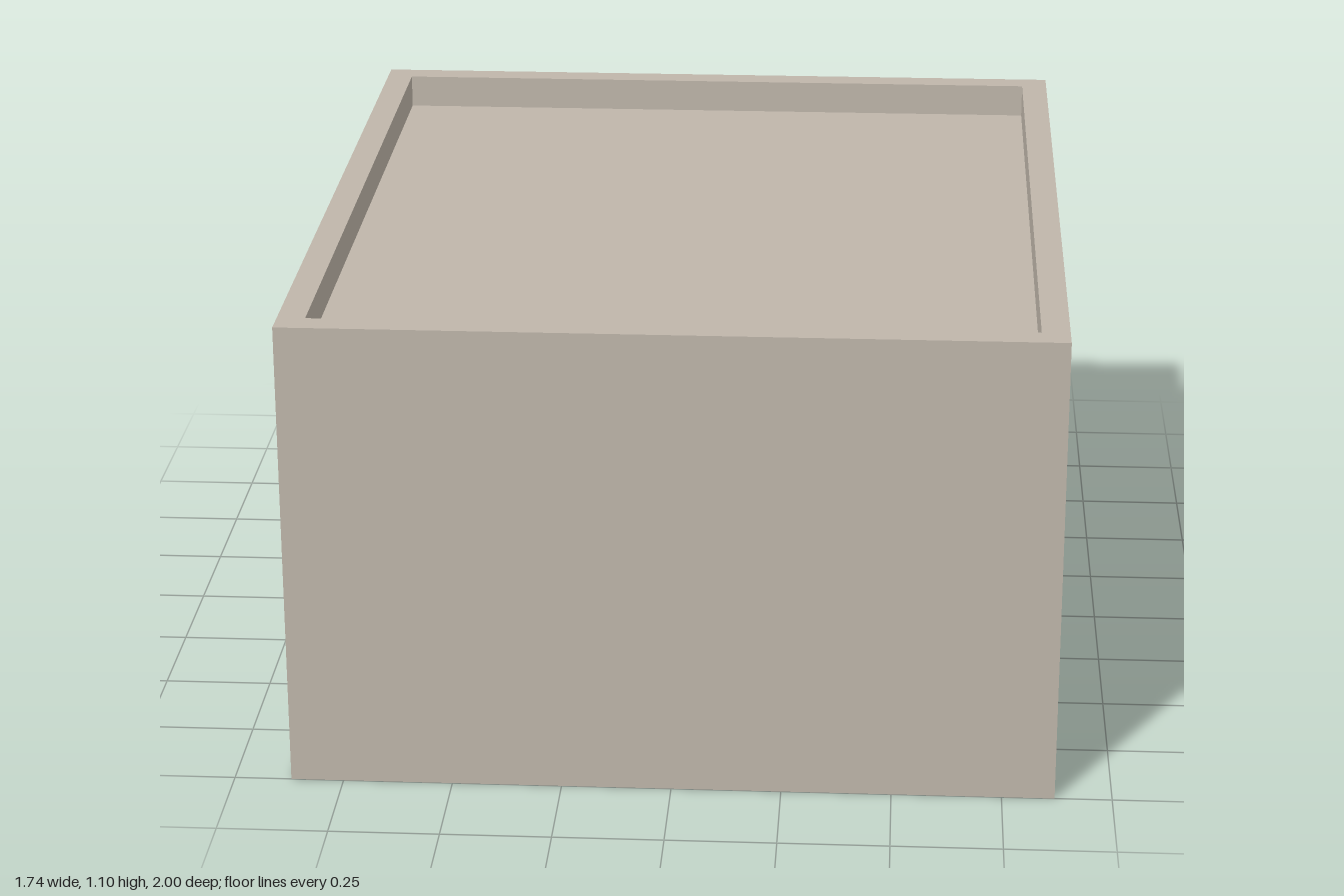
import * as THREE from 'three';

const W = 1.74, H = 1.1, D = 2;          // overall size
const RIM = 0.063, ROOF_Y = 1.02;        // parapet width, sunken roof level
const DOOR = { z0: -0.845, z1: -0.02, y0: 0.06, y1: 0.91 };

// Adds a rectangle to a shape or path
function rect(path, x0, y0, x1, y1) {
  path.moveTo(x0, y0);
  path.lineTo(x1, y0);
  path.lineTo(x1, y1);
  path.lineTo(x0, y1);
  path.closePath();
  return path;
}

// Rectangle with rectangular holes, each given as [x0, y0, x1, y1]
function panel(outer, holes = []) {
  const shape = rect(new THREE.Shape(), ...outer);
  for (const h of holes) shape.holes.push(rect(new THREE.Path(), ...h));
  return shape;
}

export function createModel() {
  const model = new THREE.Group();
  model.name = 'building';
  const wall = new THREE.MeshStandardMaterial({ color: 0xbfb6aa });
  wall.name = 'warm grey plaster';
  const dark = new THREE.MeshStandardMaterial({ color: 0x282320 });
  dark.name = 'dark frame';

  function add(name, geometry, material, pos, rot = [0, 0, 0], parent = model) {
    const mesh = new THREE.Mesh(geometry, material);
    mesh.name = name;
    mesh.position.set(...pos);
    mesh.rotation.set(...rot);
    parent.add(mesh);
    return mesh;
  }

  const hw = W / 2, hd = D / 2, iw = hw - RIM, id = hd - RIM;
  const { z0, z1, y0, y1 } = DOOR;
  const opening = [z0, y0, z1, y1];

  // Outer walls: the left-hand side (-x) has the door opening
  add('frontWall', new THREE.PlaneGeometry(W, H), wall, [0, H / 2, hd]);
  add('backWall', new THREE.PlaneGeometry(W, H), wall, [0, H / 2, -hd], [0, Math.PI, 0]);
  add('plainSideWall', new THREE.PlaneGeometry(D, H), wall, [hw, H / 2, 0], [0, Math.PI / 2, 0]);
  add('doorSideWall', new THREE.ShapeGeometry(panel([-hd, 0, hd, H], [opening])), wall,
    [-hw, 0, 0], [0, -Math.PI / 2, 0]);
  add('base', new THREE.PlaneGeometry(W, D), wall, [0, 0, 0], [Math.PI / 2, 0, 0]);

  // Parapet rim, its inner faces and the sunken roof
  add('parapetTop', new THREE.ShapeGeometry(panel([-hw, -hd, hw, hd], [[-iw, -id, iw, id]])), wall,
    [0, H, 0], [-Math.PI / 2, 0, 0]);
  add('roof', new THREE.PlaneGeometry(iw * 2, id * 2), wall, [0, ROOF_Y, 0], [-Math.PI / 2, 0, 0]);
  const drop = H - ROOF_Y, midY = (H + ROOF_Y) / 2;
  for (const s of [-1, 1]) {
    add('parapetInnerEnd', new THREE.PlaneGeometry(iw * 2, drop), wall,
      [0, midY, s * id], [0, s > 0 ? Math.PI : 0, 0]);
    add('parapetInnerSide', new THREE.PlaneGeometry(id * 2, drop), wall,
      [s * iw, midY, 0], [0, -s * Math.PI / 2, 0]);
  }

  // Three-part glazed door set into the opening
  const door = new THREE.Group();
  door.name = 'slidingDoor';
  model.add(door);
  const inset = (name, shape, material, front, depth) =>
    add(name, new THREE.ExtrudeGeometry(shape, { depth, bevelEnabled: false }), material,
      [-hw + front + depth, 0, 0], [0, -Math.PI / 2, 0], door);

  const e = 0.01, bar = 0.012;
  inset('doorReveal', panel([z0 - e, y0 - e, z1 + e, y1 + e], [opening]), wall, 0.0005, 0.036);

  const step = (z1 - z0 - bar) / 3, lights = [];
  for (let i = 0; i < 3; i++) {
    const a = z0 + bar + i * step;
    lights.push([a, y0 + bar, a + step - bar, y1 - bar]);
  }
  inset('doorFrame', panel(opening, lights), dark, 0.01, 0.025);
  for (const l of lights) inset('doorPane', panel(l), wall, 0.034, 0.005);

  return model;
}
